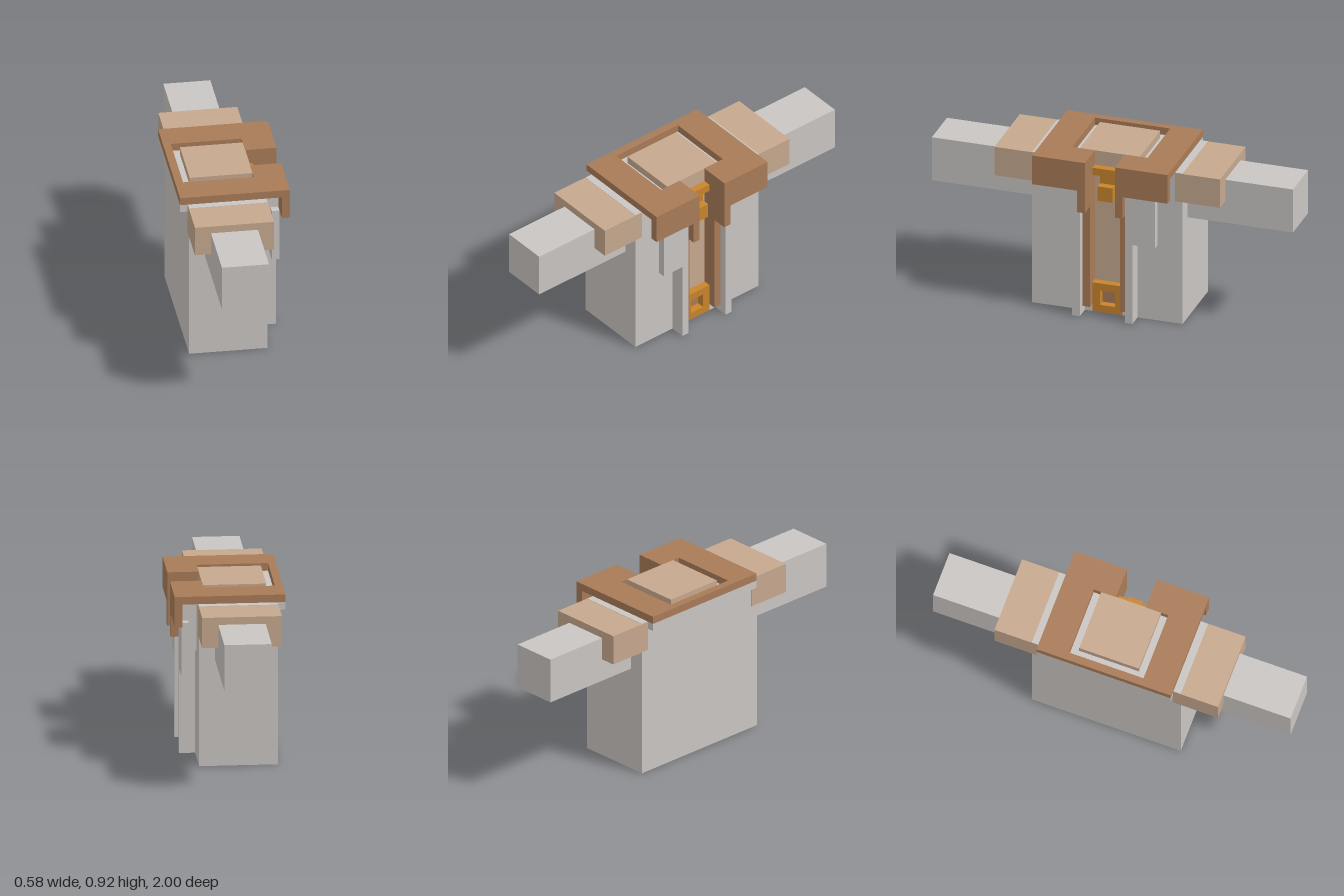
import * as THREE from 'three';

const U = 1 / 24; // grid step used by every part

export function createModel() {
  const model = new THREE.Group();
  model.name = 'torso';

  const material = (name, color) => {
    const m = new THREE.MeshStandardMaterial({ color });
    m.name = name;
    return m;
  };
  const grey = material('pale grey', 0xc9c5c2);
  const tan = material('tan', 0xc6a88e);
  const brown = material('brown', 0xa97b58);
  const gold = material('gold', 0xc9852c);

  // Box given by its limits in grid steps
  function box(name, mat, x0, x1, y0, y1, z0, z1) {
    const g = new THREE.BoxGeometry((x1 - x0) * U, (y1 - y0) * U, (z1 - z0) * U);
    g.translate((x0 + x1) * U / 2, (y0 + y1) * U / 2, (z0 + z1) * U / 2);
    const mesh = new THREE.Mesh(g, mat);
    mesh.name = name;
    model.add(mesh);
  }
  // The same box on both sides of the body
  function pair(name, mat, x0, x1, y0, y1, z0, z1) {
    box(name + 'Left', mat, x0, x1, y0, y1, z0, z1);
    box(name + 'Right', mat, x0, x1, y0, y1, -z1, -z0);
  }

  // Robe shell, open at the bottom and along the chest
  box('robeBack', grey, -6, -5, 0, 21, -10, 10);
  box('robeTop', grey, -5, 3, 20, 21, -9, 9);
  pair('robeSide', grey, -5, 4, 0, 21, 9, 10);
  pair('robeChest', grey, 3, 4, 0, 21, 3, 9);
  pair('robeSill', grey, 3, 4, 0, 1, 2, 3);
  box('collarBack', grey, -7, -6, 20, 21, -9, 9);

  // Layers under the robe
  box('innerBody', brown, -5, 3, 1, 20, -9, 9);
  box('neck', tan, -5, 3, 20, 22, -4, 4);
  box('shirtFront', tan, 2, 3.04, 4, 22, -2, 2);

  // Sleeves and arms
  const e = 0.04;
  pair('shoulder', tan, -6 - e, 4 + e, 17, 21 - e, 9, 15);
  pair('arm', grey, -4, 2, 14, 20, 10, 24);

  // Lapels and stepped trim beside the chest opening
  pair('lapelEdge', grey, 4, 6, 0, 21, 3, 4);
  pair('lapelUpper', grey, 4, 5, 14, 21, 4, 6);
  pair('lapelTop', grey, 5, 6, 18, 21, 4, 6);
  pair('lapelPanel', grey, 5, 6, 11, 18, 4, 7);
  pair('innerTrim', brown, 3, 5, 1, 21, 2, 3);
  pair('trimFill', brown, 5, 6, 15, 21, 2, 3);

  // Cloak: flat ring around the neck with a notch at the chest
  const outline = [
    [-7, -9], [7, -9], [7, -2], [3, -2], [3, -5], [-6, -5],
    [-6, 5], [3, 5], [3, 2], [7, 2], [7, 9], [-7, 9],
  ].map(([x, z]) => new THREE.Vector2(x * U, z * U));
  const cloakGeometry = new THREE.ExtrudeGeometry(new THREE.Shape(outline), { depth: U, bevelEnabled: false });
  cloakGeometry.rotateX(Math.PI / 2).translate(0, 22 * U, 0);
  const cloak = new THREE.Mesh(cloakGeometry, brown);
  cloak.name = 'cloak';
  model.add(cloak);
  pair('cloakFlap', brown, 6, 7, 18, 21, 2, 9);
  pair('cloakTip', brown, 6, 7, 15, 18, 2, 3);

  // Pendant
  box('pendantBar', gold, 3, 4, 19, 20, -2, 2);
  box('pendantStem', gold, 3, 4, 16, 19, -1, 1);
  box('pendantDrop', gold, 4, 5, 16, 18, -1, 1);

  // Belt buckle frame
  box('buckleTop', gold, 3, 4, 3, 4, -2, 2);
  box('buckleBottom', gold, 3, 4, 0, 1, -2, 2);
  pair('buckleSide', gold, 3, 4, 1, 3, 1, 2);

  return model;
}
